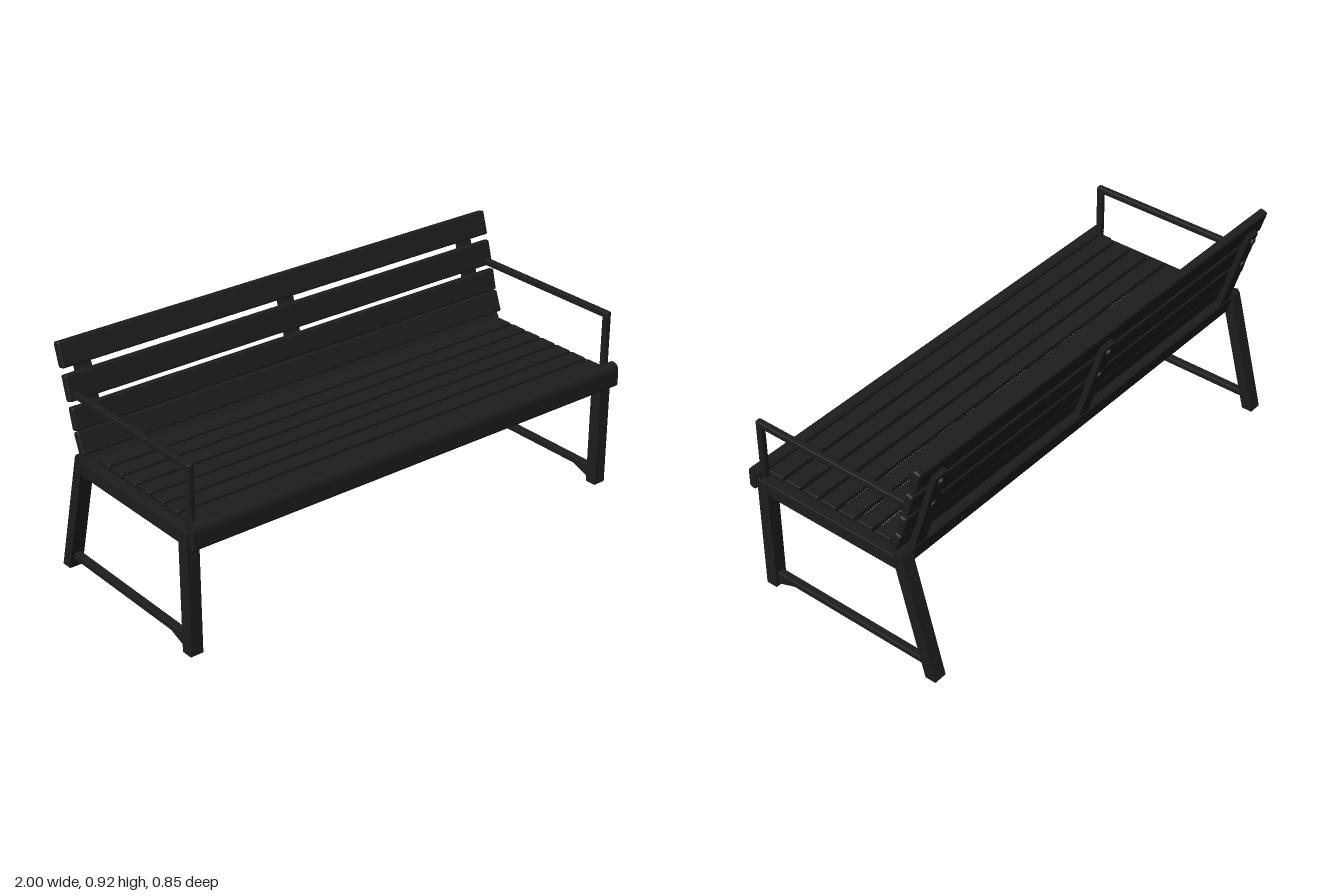
import * as THREE from 'three';
import { RoundedBoxGeometry } from 'three/addons/geometries/RoundedBoxGeometry.js';

export function createModel() {
  const bench = new THREE.Group();
  bench.name = 'bench';
  const charcoal = new THREE.MeshStandardMaterial({ color: 0x1d1d1d });
  charcoal.name = 'charcoal';

  function add(name, geometry, x = 0, y = 0, z = 0) {
    const mesh = new THREE.Mesh(geometry, charcoal);
    mesh.name = name;
    mesh.position.set(x, y, z);
    bench.add(mesh);
    return mesh;
  }

  // Box given by its x centre and width, and its y and z ranges
  function bar(name, x, w, y0, y1, z0, z1, r = 0.004) {
    const geometry = new RoundedBoxGeometry(w, y1 - y0, z1 - z0, 2, r);
    return add(name, geometry, x, (y0 + y1) / 2, (z0 + z1) / 2);
  }

  // Shape drawn in (-z, y), extruded along x about a centre
  function extrudeAlongX(name, shape, x, w) {
    const geometry = new THREE.ExtrudeGeometry(shape,
      { depth: w, bevelEnabled: false, curveSegments: 6 });
    geometry.translate(0, 0, -w / 2).rotateY(Math.PI / 2);
    return add(name, geometry, x);
  }

  // Side outline of [z, y] points
  function profile(name, points, x, w) {
    const shape = new THREE.Shape(points.map(([z, y]) => new THREE.Vector2(-z, y)));
    return extrudeAlongX(name, shape, x, w);
  }

  // End frames with armrests
  for (const s of [-1, 1]) {
    const x = s * 0.972;
    bar('frontLeg', x, 0.055, 0, 0.492, 0.337, 0.386);
    profile('rearLeg', [[-0.38, 0], [-0.425, 0], [-0.293, 0.5], [-0.283, 0.512],
      [-0.262, 0.508], [-0.25, 0.49]], x, 0.055);
    bar('seatSideRail', s * 0.95, 0.09, 0.432, 0.49, -0.265, 0.345);
    bar('footRail', x, 0.03, 0.041, 0.066, -0.385, 0.345);
    profile('footGusset', [[0.345, 0.01], [0.345, 0.045], [0.25, 0.045]], x, 0.03);
    bar('armPost', s * 0.968, 0.025, 0.488, 0.74, 0.361, 0.387, 0.006);
    bar('armRest', s * 0.968, 0.025, 0.715, 0.74, -0.335, 0.387, 0.006);
  }

  // Seat slats
  for (let i = 0; i < 7; i++) {
    const z = 0.333 - i * 0.084;
    bar('seatSlat', 0, 1.92, 0.493, 0.516, z - 0.035, z + 0.035, 0.005);
  }

  // Rolled front lip: an outer curve over the edge and an inner curve back
  const lip = new THREE.Shape();
  lip.moveTo(-0.427, 0.445);
  lip.lineTo(-0.427, 0.5);
  lip.quadraticCurveTo(-0.425, 0.528, -0.4, 0.53);
  lip.quadraticCurveTo(-0.384, 0.53, -0.374, 0.515);
  lip.lineTo(-0.376, 0.495);
  lip.quadraticCurveTo(-0.394, 0.505, -0.395, 0.485);
  lip.lineTo(-0.395, 0.445);
  lip.quadraticCurveTo(-0.398, 0.434, -0.411, 0.434);
  lip.quadraticCurveTo(-0.425, 0.434, -0.427, 0.445);
  extrudeAlongX('frontLip', lip, 0, 1.99);

  // Rear beam closing the gap between seat and back
  profile('rearBeam', [[-0.19, 0.433], [-0.275, 0.433], [-0.292, 0.5], [-0.282, 0.511],
    [-0.262, 0.507], [-0.25, 0.49], [-0.19, 0.49]], 0, 1.9);

  // Cross bars under the seat
  for (const x of [-0.77, -0.28, 0.28]) {
    bar('seatCrossBar', x, 0.035, 0.465, 0.495, -0.2, 0.39);
  }

  // Back slats: y, z, height, thickness, tilt
  const backSlats = [
    [0.56, -0.265, 0.088, 0.03, 0.36],
    [0.646, -0.294, 0.088, 0.03, 0.24],
    [0.754, -0.325, 0.1, 0.032, 0.27],
    [0.87, -0.361, 0.097, 0.034, 0.3],
  ];
  for (const [y, z, h, t, tilt] of backSlats) {
    const slat = add('backSlat', new RoundedBoxGeometry(2, h, t, 2, 0.008), 0, y, z);
    slat.rotation.x = -tilt;
  }

  // Back uprights with bolt heads
  for (const x of [-0.9, 0, 0.9]) {
    profile('backUpright', [[-0.256, 0.48], [-0.282, 0.48], [-0.396, 0.855],
      [-0.384, 0.866], [-0.37, 0.86]], x, 0.06);
    for (const [y, z] of [[0.716, -0.348], [0.832, -0.386]]) {
      const bolt = add('bolt', new THREE.CylinderGeometry(0.013, 0.013, 0.025, 12), x, y, z);
      bolt.rotation.x = Math.PI / 2 - 0.29;
    }
  }

  return bench;
}
